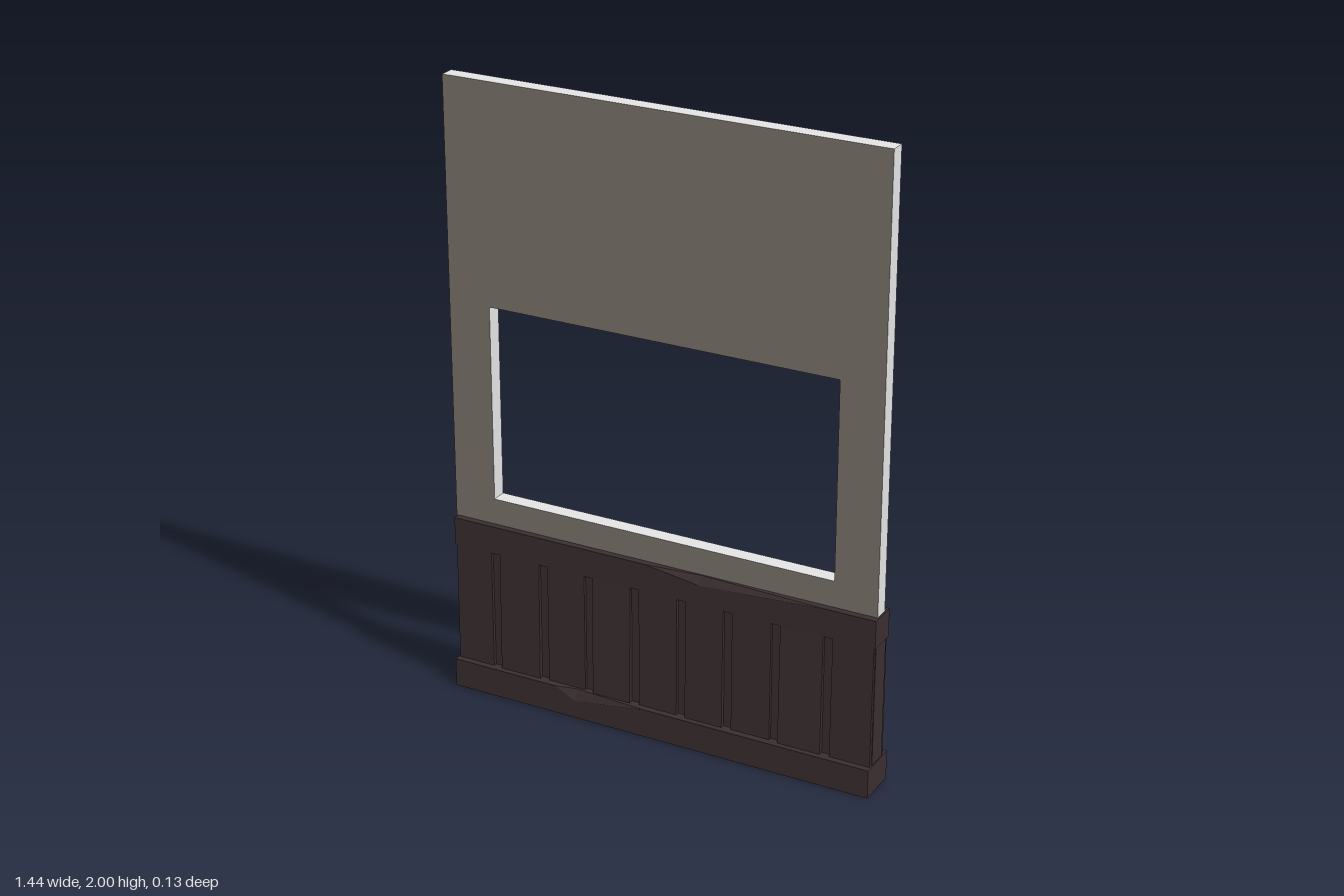
import * as THREE from 'three';

const mat = (name, color) => Object.assign(new THREE.MeshStandardMaterial({ color }), { name });

// Horizontal bar along x; chips are small worn facets on its top edges.
// Each chip: [xStart, xPeak, xEnd, depth, drop, side], side 1 = front, -1 = back
function chippedBar(x0, x1, y0, y1, half, chips) {
  const xs = [...new Set([x0, x1, ...chips.flatMap(c => c.slice(0, 3))])].sort((a, b) => a - b);
  const cut = (x, side) => {
    let dz = 0.0005, dy = 0.0005;
    for (const [a, p, b, depth, drop, s] of chips) {
      if (s !== side || x <= a || x >= b) continue;
      const t = x < p ? (x - a) / (p - a) : (b - x) / (b - p);
      dz = Math.max(dz, depth * t);
      dy = Math.max(dy, drop * t);
    }
    return [dz, dy];
  };
  const rings = xs.map(x => {
    const [fz, fy] = cut(x, 1), [bz, by] = cut(x, -1);
    return [[-half, y0], [half, y0], [half, y1 - fy], [half - fz, y1], [-half + bz, y1], [-half, y1 - by]]
      .map(([z, y]) => [x, y, z]);
  });
  const pos = [];
  const tri = (...pts) => pts.forEach(p => pos.push(...p));
  for (let i = 0; i < rings.length - 1; i++) {
    for (let j = 0; j < 6; j++) {
      const k = (j + 1) % 6;
      const a = rings[i][j], b = rings[i][k], c = rings[i + 1][k], d = rings[i + 1][j];
      tri(a, d, c);
      tri(a, c, b);
    }
  }
  const first = rings[0], last = rings[rings.length - 1];
  for (let j = 1; j < 5; j++) {
    tri(first[0], first[j], first[j + 1]);
    tri(last[0], last[j + 1], last[j]);
  }
  const g = new THREE.BufferGeometry();
  g.setAttribute('position', new THREE.Float32BufferAttribute(pos, 3));
  g.computeVertexNormals();
  return g;
}

export function createModel() {
  const model = new THREE.Group();
  model.name = 'windowWall';
  const plaster = mat('plaster', 0x7d776d);
  const edge = mat('wallEdge', 0xe2e2e2);
  const wood = mat('darkWood', 0x3a2e2f);
  const add = (parent, name, geometry, material, x = 0, y = 0, z = 0) => {
    const m = new THREE.Mesh(geometry, material);
    m.name = name;
    m.position.set(x, y, z);
    parent.add(m);
    return m;
  };

  // Upper wall with a window opening; pale cut edges
  const rect = (P, x0, y0, x1, y1) => {
    const p = new P();
    p.moveTo(x0, y0);
    p.lineTo(x1, y0);
    p.lineTo(x1, y1);
    p.lineTo(x0, y1);
    p.closePath();
    return p;
  };
  const outline = rect(THREE.Shape, -0.72, 0.55, 0.712, 2);
  outline.holes.push(rect(THREE.Path, -0.58, 0.667, 0.572, 1.3));
  const wall = new THREE.ExtrudeGeometry(outline, { depth: 0.05, bevelEnabled: false });
  add(model, 'wallWithOpening', wall, [plaster, edge], 0, 0, -0.025);

  // Wooden panelling below the opening
  const panelling = new THREE.Group();
  panelling.name = 'panelling';
  model.add(panelling);
  add(panelling, 'panelCore', new THREE.BoxGeometry(1.424, 0.45, 0.068), wood, 0.002, 0.3, 0);
  add(panelling, 'topRail', chippedBar(-0.715, 0.717, 0.49, 0.582, 0.047, [
    [-0.04, 0.14, 0.55, 0.018, 0.026, 1],
    [-0.28, -0.26, -0.1, 0.018, 0.024, -1],
  ]), wood);
  add(panelling, 'baseBoard', chippedBar(-0.715, 0.717, 0, 0.094, 0.067, [
    [-0.35, -0.28, -0.04, 0.016, 0.035, 1],
    [0.26, 0.3, 0.42, 0.014, 0.03, -1],
  ]), wood);

  // Planks between the grooves on both faces, some leaning out at the foot
  const grooves = [-0.57, -0.4, -0.24, -0.08, 0.08, 0.236, 0.395, 0.565];
  const lean = [0.002, 0.005, 0, 0.007, 0.002, 0.005, 0.001, 0.006, 0.003];
  const stops = [-0.726, ...grooves, 0.727];
  for (const side of [1, -1]) {
    for (let i = 0; i < stops.length - 1; i++) {
      const a = stops[i] + 0.015, b = stops[i + 1] - 0.015;
      const plank = new THREE.BoxGeometry(b - a, 0.41, 0.024);
      const p = plank.attributes.position;
      for (let v = 0; v < p.count; v++) {
        const outer = p.getZ(v) * side > 0;
        if (outer && p.getY(v) < 0) p.setZ(v, p.getZ(v) + side * lean[side > 0 ? i : 8 - i]);
      }
      plank.computeVertexNormals();
      add(panelling, side > 0 ? 'frontPlank' : 'backPlank', plank, wood, (a + b) / 2, 0.293, side * 0.032);
    }
  }
  return model;
}
